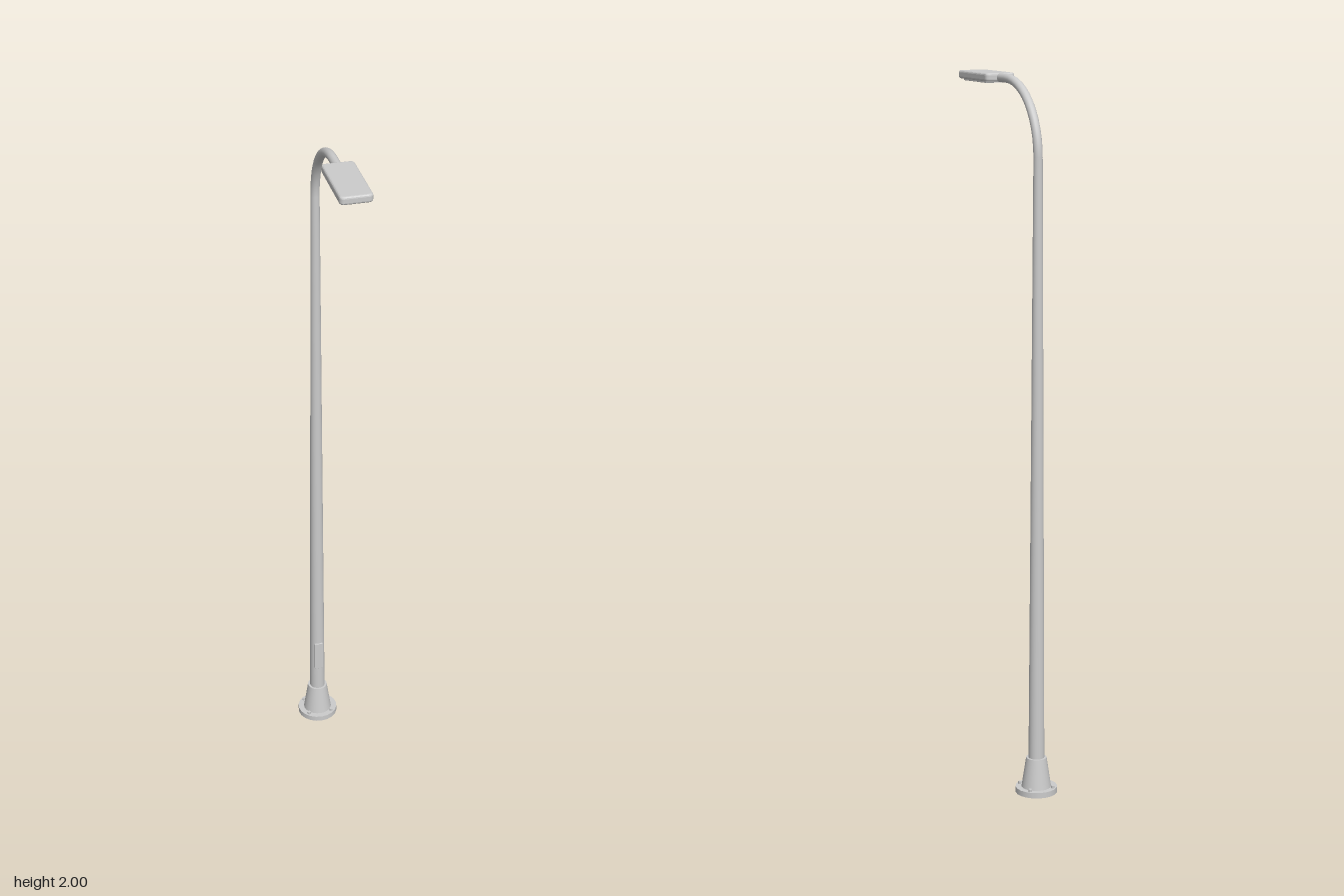
import * as THREE from 'three';

const mat = new THREE.MeshStandardMaterial({ color: 0xcccccc });
const POLE_Z = -0.191; // axis of the upright pole

function add(parent, name, geometry, x = 0, y = 0, z = 0) {
  const mesh = new THREE.Mesh(geometry, mat);
  mesh.name = name;
  mesh.position.set(x, y, z);
  parent.add(mesh);
  return mesh;
}

// Rounded rectangle in plan, extruded upward with a bevelled edge; y starts at 0
function roundedSlab(w, d, h, r, bevel) {
  const a = w / 2 - bevel, b = d / 2 - bevel;
  const s = new THREE.Shape();
  s.moveTo(-a + r, -b);
  s.lineTo(a - r, -b);
  s.absarc(a - r, -b + r, r, -Math.PI / 2, 0);
  s.lineTo(a, b - r);
  s.absarc(a - r, b - r, r, 0, Math.PI / 2);
  s.lineTo(-a + r, b);
  s.absarc(-a + r, b - r, r, Math.PI / 2, Math.PI);
  s.lineTo(-a, -b + r);
  s.absarc(-a + r, -b + r, r, Math.PI, Math.PI * 1.5);
  const g = new THREE.ExtrudeGeometry(s, {
    depth: h - 2 * bevel, bevelEnabled: bevel > 0, bevelSize: bevel,
    bevelThickness: bevel, bevelSegments: 3, curveSegments: 5,
  });
  return g.rotateX(-Math.PI / 2).translate(0, bevel, 0);
}

export function createModel() {
  const model = new THREE.Group();
  model.name = 'streetLamp';

  // Base flange, tapered collar and bolts
  const base = new THREE.Group();
  base.name = 'base';
  base.position.z = POLE_Z;
  model.add(base);
  add(base, 'flange', new THREE.CylinderGeometry(0.059, 0.059, 0.016, 20), 0, 0.008);
  add(base, 'collar', new THREE.CylinderGeometry(0.029, 0.042, 0.086, 24), 0, 0.059);
  for (const x of [-1, 1]) for (const z of [-1, 1]) {
    add(base, 'bolt', new THREE.CylinderGeometry(0.005, 0.005, 0.008, 10), x * 0.035, 0.019, z * 0.035);
  }

  // Tapered pole
  add(model, 'pole', new THREE.CylinderGeometry(0.0125, 0.0225, 1.698, 24), 0, 0.939, POLE_Z);

  // Access door on the front of the pole
  add(model, 'accessDoor', roundedSlab(0.026, 0.095, 0.012, 0.003, 0.001).rotateX(Math.PI / 2),
    0, 0.228, POLE_Z + 0.0125);

  // Quarter-circle bend and straight arm
  add(model, 'bend', new THREE.TorusGeometry(0.2, 0.0125, 16, 12, Math.PI / 2).rotateY(Math.PI / 2),
    0, 1.7875, POLE_Z + 0.2);
  add(model, 'arm', new THREE.CylinderGeometry(0.0125, 0.0125, 0.05, 16).rotateX(Math.PI / 2),
    0, 1.9875, 0.034);

  // Flat lamp head with a shallow lens below
  const head = new THREE.Group();
  head.name = 'lampHead';
  head.position.set(0, 1.977, 0.15);
  model.add(head);
  add(head, 'housing', roundedSlab(0.088, 0.2, 0.023, 0.006, 0.006));
  add(head, 'lens', roundedSlab(0.064, 0.156, 0.009, 0.004, 0.001), 0, -0.005, 0.008);

  return model;
}
